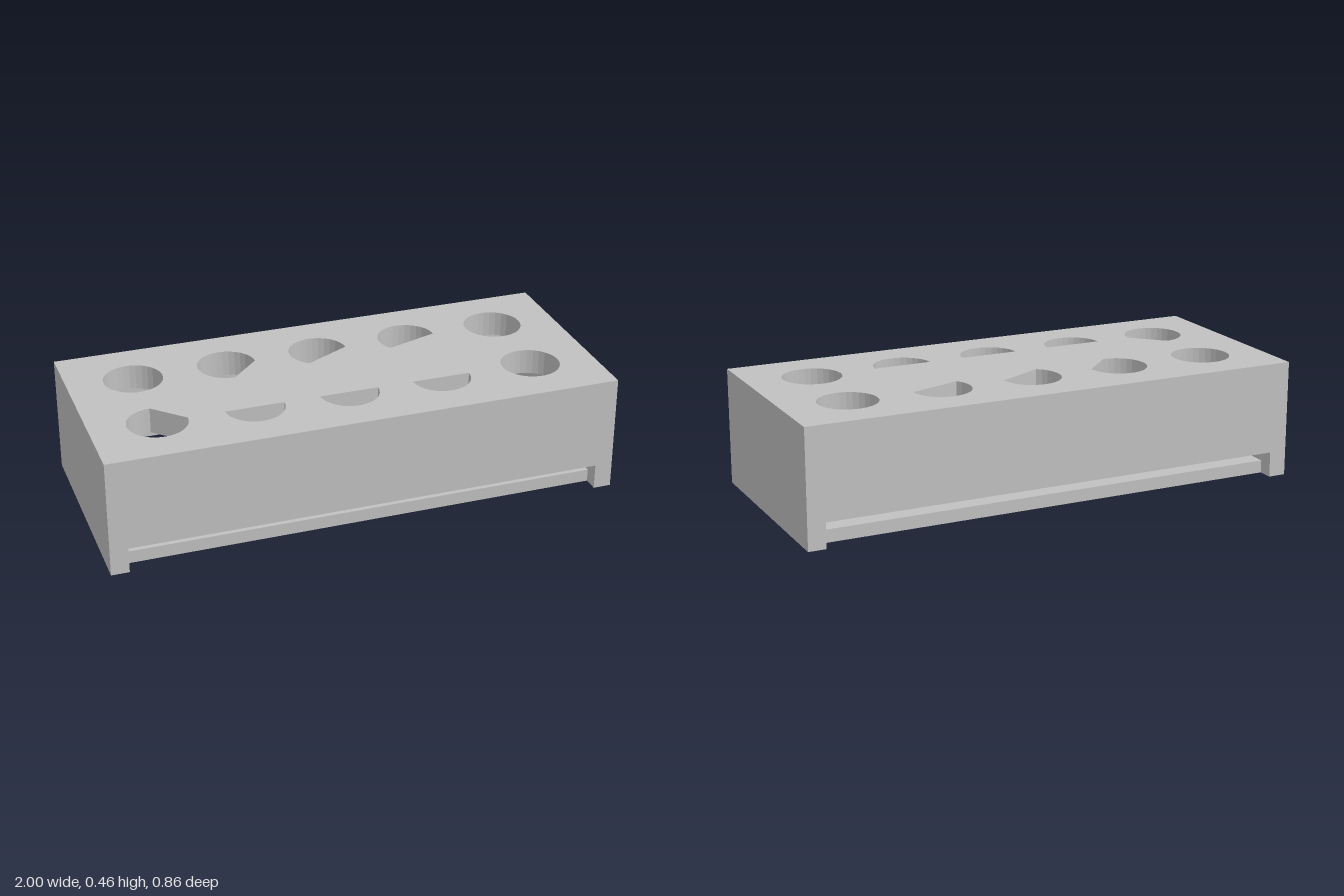
import * as THREE from 'three';

// Hollow block: pierced lid, two slotted long walls, two end walls and a floor.
const W = 2, H = 0.46, D = 0.86;
const LID = 0.1, SIDE = 0.07, WALL = 0.06;
const SLOT_TOP = 0.1, FLOOR = 0.05, R = 0.115;

export function createModel() {
  const group = new THREE.Group();
  const grey = new THREE.MeshStandardMaterial({ color: 0xc0c0c0 });
  grey.name = 'plain grey';

  const add = (name, geometry, x = 0, y = 0, z = 0) => {
    const mesh = new THREE.Mesh(geometry, grey);
    mesh.name = name;
    mesh.position.set(x, y, z);
    group.add(mesh);
  };

  // Lid: each hole keeps an arc from a to b degrees, closed by a chord
  const rows = [
    { z: -0.187, arcs: [[0, 360], [90, 360], [125, 360], [143, 360], [0, 360]] },
    { z: 0.185, arcs: [[0, 270], [0, 180], [0, 180], [0, 180], [0, 360]] },
  ];
  const lid = new THREE.Shape([
    new THREE.Vector2(-W / 2, -D / 2), new THREE.Vector2(W / 2, -D / 2),
    new THREE.Vector2(W / 2, D / 2), new THREE.Vector2(-W / 2, D / 2),
  ]);
  for (const { z, arcs } of rows) {
    arcs.forEach(([a, b], i) => {
      const steps = Math.round((b - a) / 12);
      const count = b - a === 360 ? steps : steps + 1;
      const points = [];
      for (let k = 0; k < count; k++) {
        const t = THREE.MathUtils.degToRad(a + ((b - a) * k) / steps);
        points.push(new THREE.Vector2((i - 2) * 0.372 + R * Math.cos(t), z + R * Math.sin(t)));
      }
      lid.holes.push(new THREE.Path(points));
    });
  }
  const lidGeometry = new THREE.ExtrudeGeometry(lid, { depth: LID, bevelEnabled: false });
  lidGeometry.rotateX(Math.PI / 2);
  add('piercedLid', lidGeometry, 0, H, 0);

  // Long walls, notched along the bottom
  const h = H - LID, s = W / 2 - SIDE;
  const wall = new THREE.Shape([
    [-W / 2, 0], [-s, 0], [-s, SLOT_TOP], [s, SLOT_TOP],
    [s, 0], [W / 2, 0], [W / 2, h], [-W / 2, h],
  ].map(([x, y]) => new THREE.Vector2(x, y)));
  const wallGeometry = new THREE.ExtrudeGeometry(wall, { depth: WALL, bevelEnabled: false });
  add('frontWall', wallGeometry, 0, 0, D / 2 - WALL);
  add('backWall', wallGeometry, 0, 0, -D / 2);

  // End walls and floor between the long walls
  const inner = D - 2 * WALL;
  const endGeometry = new THREE.BoxGeometry(SIDE, h, inner);
  add('leftWall', endGeometry, W / 2 - SIDE / 2, h / 2, 0);
  add('rightWall', endGeometry, -W / 2 + SIDE / 2, h / 2, 0);
  add('floor', new THREE.BoxGeometry(2 * s, FLOOR, inner), 0, FLOOR / 2, 0);

  return group;
}
